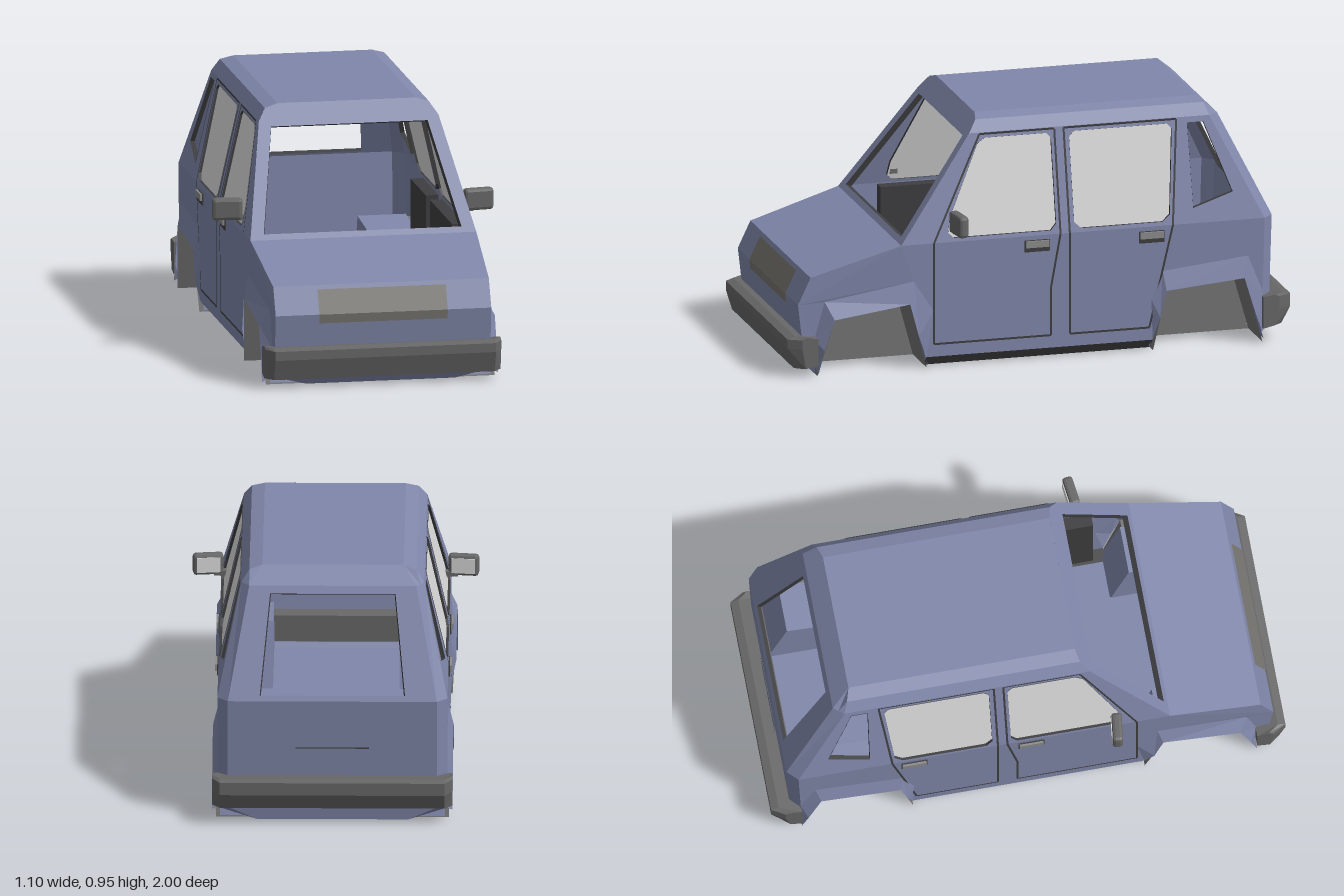
import * as THREE from 'three';
import { RoundedBoxGeometry } from 'three/addons/geometries/RoundedBoxGeometry.js';

const mat = (name, color) => new THREE.MeshStandardMaterial({ name, color, side: THREE.DoubleSide, flatShading: true });

export function createModel() {
  const car = new THREE.Group();
  car.name = 'carBody';
  const M = {
    paint: mat('bluePaint', 0x8087aa), bumper: mat('bumperGrey', 0x676767), well: mat('wheelWellGrey', 0x747474),
    trim: mat('darkTrim', 0x3e3e40), floor: mat('floorDark', 0x484848), glass: mat('paleGlass', 0xdadada),
    grille: mat('grilleGrey', 0x777570), handle: mat('handleGrey', 0x8c8c8c),
  };

  const add = (name, geo, material) => {
    const mesh = new THREE.Mesh(geo, material);
    mesh.name = name;
    car.add(mesh);
    return mesh;
  };
  // Skin between rows of [x, y, z] points
  const loft = (name, rows, material) => {
    const p = [];
    for (let i = 0; i < rows.length - 1; i++) {
      for (let j = 0; j < rows[i].length - 1; j++) {
        const a = rows[i][j], b = rows[i][j + 1], c = rows[i + 1][j + 1], d = rows[i + 1][j];
        p.push(...a, ...b, ...c, ...a, ...c, ...d);
      }
    }
    const g = new THREE.BufferGeometry();
    g.setAttribute('position', new THREE.Float32BufferAttribute(p, 3));
    g.computeVertexNormals();
    return add(name, g, material);
  };
  // Flat outline with holes, carried onto a surface by a rule
  const panel = (name, outline, holes, map, material) => {
    const vec = pts => pts.map(([u, v]) => new THREE.Vector2(u, v));
    const shape = new THREE.Shape(vec(outline));
    shape.holes = holes.map(h => new THREE.Path(vec(h)));
    const g = new THREE.ShapeGeometry(shape).toNonIndexed();
    const pos = g.attributes.position;
    for (let i = 0; i < pos.count; i++) pos.setXYZ(i, ...map(pos.getX(i), pos.getY(i)));
    g.computeVertexNormals();
    return add(name, g, material);
  };
  const closed = pts => [...pts, pts[0]];
  const mirrorX = pts => [...pts, ...pts.map(([x, y]) => [-x, y]).reverse()];
  const across = rows => rows.map(([z, y, w]) => [[-w, y, z], [w, y, z]]);

  // Bonnet, nose and tail
  loft('bonnetAndNose', across([[.55, .49, .44], [.905, .385, .42], [.955, .28, .42], [.94, .15, .42], [.92, .03, .40], [.90, 0, .29]]), M.paint);
  loft('tailPanel', across([[-.935, .49, .40], [-.925, .18, .40], [-.915, .05, .40], [-.91, 0, .29]]), M.paint);
  loft('grille', across([[.915, .37, .25], [.958, .28, .25], [.954, .245, .25]]), M.grille);
  loft('plateRecess', across([[-.934, .30, .14], [-.931, .20, .14]]), M.paint);
  loft('plateTopEdge', across([[-.936, .303, .14], [-.936, .298, .14]]), M.trim);

  // Windscreen frame and rear window frame, each with an open hole
  const frontZ = y => .55 - .739 * (y - .49);
  const rearZ = y => -.935 + .4875 * (y - .49);
  const screenHole = mirrorX([[.385, .51], [.305, .872]]);
  const rearHole = mirrorX([[.278, .51], [.24, .862]]);
  panel('windscreenFrame', mirrorX([[.44, .49], [.35, .89], [.32, .935], [.27, .95]]), [screenHole], (x, y) => [x, y, frontZ(y)], M.paint);
  panel('rearWindowFrame', mirrorX([[.40, .49], [.32, .89]]), [rearHole], (x, y) => [x, y, rearZ(y)], M.paint);
  const reveal = (name, hole, zOf, dz) => loft(name, [
    closed(hole).map(([x, y]) => [x, y, zOf(y)]),
    closed(hole).map(([x, y]) => [x * .985, y - .008, zOf(y) + dz]),
  ], M.trim);
  reveal('windscreenSeal', screenHole, frontZ, -.02);
  reveal('rearWindowSeal', rearHole, rearZ, .015);

  // Roof with bevelled edges
  const arc = (z1, z2, z3) => [[.35, .89, z1], [.32, .935, z2], [.27, .95, z3], [-.27, .95, z3], [-.32, .935, z2], [-.35, .89, z1]];
  loft('roof', [arc(.254, .221, .21), arc(-.70, -.685, -.67),
    [[.35, .89, -.70], [.335, .89, -.72], [.32, .89, -.74], [-.32, .89, -.74], [-.335, .89, -.72], [-.35, .89, -.70]]], M.paint);

  // Side outlines as [z, y]
  const upper = [[.55, .49], [.254, .89], [-.70, .89], [-.895, .49]];
  const windows = {
    frontDoor: [[.34, .505], [.362, .525], [.352, .58], [.225, .85], [.195, .87], [-.05, .87], [-.068, .85], [-.068, .53], [-.045, .505]],
    rearDoor: [[-.165, .505], [-.14, .53], [-.14, .85], [-.16, .87], [-.53, .87], [-.548, .85], [-.52, .53], [-.49, .505]],
    quarter: [[-.615, .548], [-.61, .868], [-.675, .868], [-.775, .598]],
  };
  const fender = [[.42, .49], [.55, .49], [.905, .385], [.955, .28], [.94, .15], [.92, .03], [.885, .03], [.89, .14], [.85, .285], [.5, .345], [.42, .22]];
  const lower = [[.42, .49], [-.895, .49], [-.887, .2], [-.83, .345], [-.49, .31], [-.445, .2], [-.45, .04], [.45, .04], [.42, .22]];
  const flares = {
    front: [[[.885, .03], [.89, .14], [.85, .285], [.5, .345], [.42, .22], [.45, .04]], [[.885, .01], [.86, .1], [.82, .22], [.52, .26], [.485, .13], [.45, .04]]],
    rear: [[[-.885, .04], [-.887, .2], [-.83, .345], [-.49, .31], [-.445, .2], [-.45, .04]], [[-.885, .03], [-.86, .1], [-.81, .262], [-.5, .235], [-.475, .13], [-.45, .04]]],
  };
  const wells = {
    front: [[.885, 0], [.82, .22], [.52, .26], [.45, 0]],
    rear: [[-.885, 0], [-.81, .262], [-.5, .235], [-.45, 0]],
  };
  const doors = {
    front: [[.42, .09], [.42, .49], [.215, .885], [-.083, .885], [-.083, .49], [-.045, .28], [-.045, .09]],
    rear: [[-.12, .09], [-.12, .49], [-.12, .885], [-.568, .885], [-.53, .49], [-.436, .09]],
  };
  const sideX = (y, z) => (y > .49 ? .44 - .225 * (y - .49) : .44) - .02 * Math.min(1, Math.max(0, (z - .55) / .35));

  for (const [side, s] of [['left', 1], ['right', -1]]) {
    const on = d => (z, y) => [s * (sideX(y, z) + d), y, z];
    const at = x => ([z, y]) => [s * x, y, z];

    // Side skin and rear corner bevel
    panel(side + 'CabinSide', upper, Object.values(windows), on(0), M.paint);
    panel(side + 'FrontFender', fender, [], on(0), M.paint);
    panel(side + 'LowerSide', lower, [], on(0), M.paint);
    loft(side + 'RearCorner', [
      [[s * .35, .89, -.70], [s * .44, .49, -.895], [s * .44, .2, -.887], [s * .44, .04, -.885], [s * .29, 0, -.885]],
      [[s * .32, .89, -.74], [s * .40, .49, -.935], [s * .40, .18, -.925], [s * .40, .05, -.915], [s * .29, 0, -.91]],
    ], M.paint);

    // Window seals and door glass
    for (const [name, w] of Object.entries(windows)) {
      loft(`${side}${name}Seal`, [.002, -.016].map(d => closed(w).map(([z, y]) => on(d)(z, y))), M.trim);
      if (name !== 'quarter') panel(`${side}${name}Glass`, w, [], on(-.008), M.glass);
    }

    // Door gaps, drawn as narrow strips
    for (const [name, d] of Object.entries(doors)) {
      const loop = closed(d);
      for (let i = 0; i < d.length; i++) {
        const [z1, y1] = loop[i], [z2, y2] = loop[i + 1];
        const k = .004 / Math.hypot(z2 - z1, y2 - y1), nz = -(y2 - y1) * k, ny = (z2 - z1) * k;
        loft(`${side}${name}DoorGap`, [1, -1].map(t => [[z1, y1], [z2, y2]].map(([z, y]) => {
          const p = on(.002)(z, y);
          return [p[0], y + t * ny, z + t * nz];
        })), M.trim);
      }
    }

    // Inner door panels
    for (const [z1, z2] of [[.40, -.05], [-.13, -.44]]) {
      const box = add(side + 'InnerDoorPanel', new THREE.BoxGeometry(.05, .39, z1 - z2), M.trim);
      box.position.set(s * .40, .295, (z1 + z2) / 2);
    }

    // Wheel arches, wells and their housings inside the cabin
    for (const end of ['front', 'rear']) {
      const [outer, arch] = flares[end];
      loft(`${side}${end}Flare`, [
        outer.map(([z, y]) => on(0)(z, y)),
        arch.map(([z, y], i) => [s * (i === 5 ? .44 : .46), y, z]),
      ], M.paint);
      const well = wells[end];
      loft(`${side}${end}Well`, [well.map(([z, y]) => [s * (y ? .46 : .445), y, z]), well.map(at(.25))], M.well);
      panel(`${side}${end}WellWall`, well, [], (z, y) => [s * .25, y, z], M.well);
      const mid = end === 'front' ? .667 : -.667;
      const shell = well.map(([z, y]) => [mid + (z - mid) * 1.04, y + .008]);
      loft(`${side}${end}Housing`, [shell.map(at(.43)), shell.map(at(.242))], M.paint);
      panel(`${side}${end}HousingWall`, shell, [], (z, y) => [s * .242, y, z], M.paint);
    }
    loft(side + 'Sill', [[[s * .44, .04, .45], [s * .44, .04, -.45]], [[s * .40, 0, .45], [s * .40, 0, -.45]]], M.floor);

    // Door handles
    for (const z of [.01, -.445]) {
      add(side + 'HandleCup', new THREE.BoxGeometry(.008, .046, .1), M.trim).position.set(s * .441, .45, z);
      add(side + 'Handle', new THREE.BoxGeometry(.014, .026, .092), M.handle).position.set(s * .446, .458, z);
    }

    // Door mirror
    add(side + 'MirrorBracket', new THREE.BoxGeometry(.05, .018, .03), M.bumper).position.set(s * .442, .537, .335);
    const shellMesh = add(side + 'MirrorShell', new RoundedBoxGeometry(.117, .085, .04, 1, .012), M.bumper);
    shellMesh.position.set(s * .489, .572, .335);
    shellMesh.rotation.y = s * .12;
    const face = add(side + 'MirrorGlass', new THREE.BoxGeometry(.09, .06, .004), M.glass);
    face.position.set(s * .487, .572, .314);
    face.rotation.y = s * .12;
  }

  // Underside and cabin floor
  const half = [[.29, .90], [.25, .885], [.25, .45], [.40, .45], [.40, -.45], [.25, -.45], [.25, -.885], [.29, -.91]];
  panel('underside', mirrorX(half), [], (x, z) => [x, 0, z], M.floor);
  panel('cabinFloor', mirrorX(half), [], (x, z) => [x * .98, .02, z * .98], M.paint);

  // Bumpers wrapping round the corners
  const bumper = (name, profile, dir) => {
    const rows = [[-.46, .55], [-.43, 1], [.43, 1], [.46, .55]].map(([x, k]) =>
      closed(profile).map(([z, y]) => [x, y, dir * (.885 + (z - .885) * k)]));
    loft(name, rows, M.bumper);
    for (const r of [rows[0], rows[3]]) panel(name + 'End', r.slice(0, -1).map(p => [p[2], p[1]]), [], (z, y) => [r[0][0], y, z], M.bumper);
  };
  bumper('frontBumper', [[.885, .15], [.97, .16], [1, .15], [1, .115], [.975, .035], [.885, .045]], 1);
  bumper('rearBumper', [[.885, .18], [.97, .187], [1, .18], [1, .13], [.965, .065], [.885, .055]], -1);

  return car;
}
